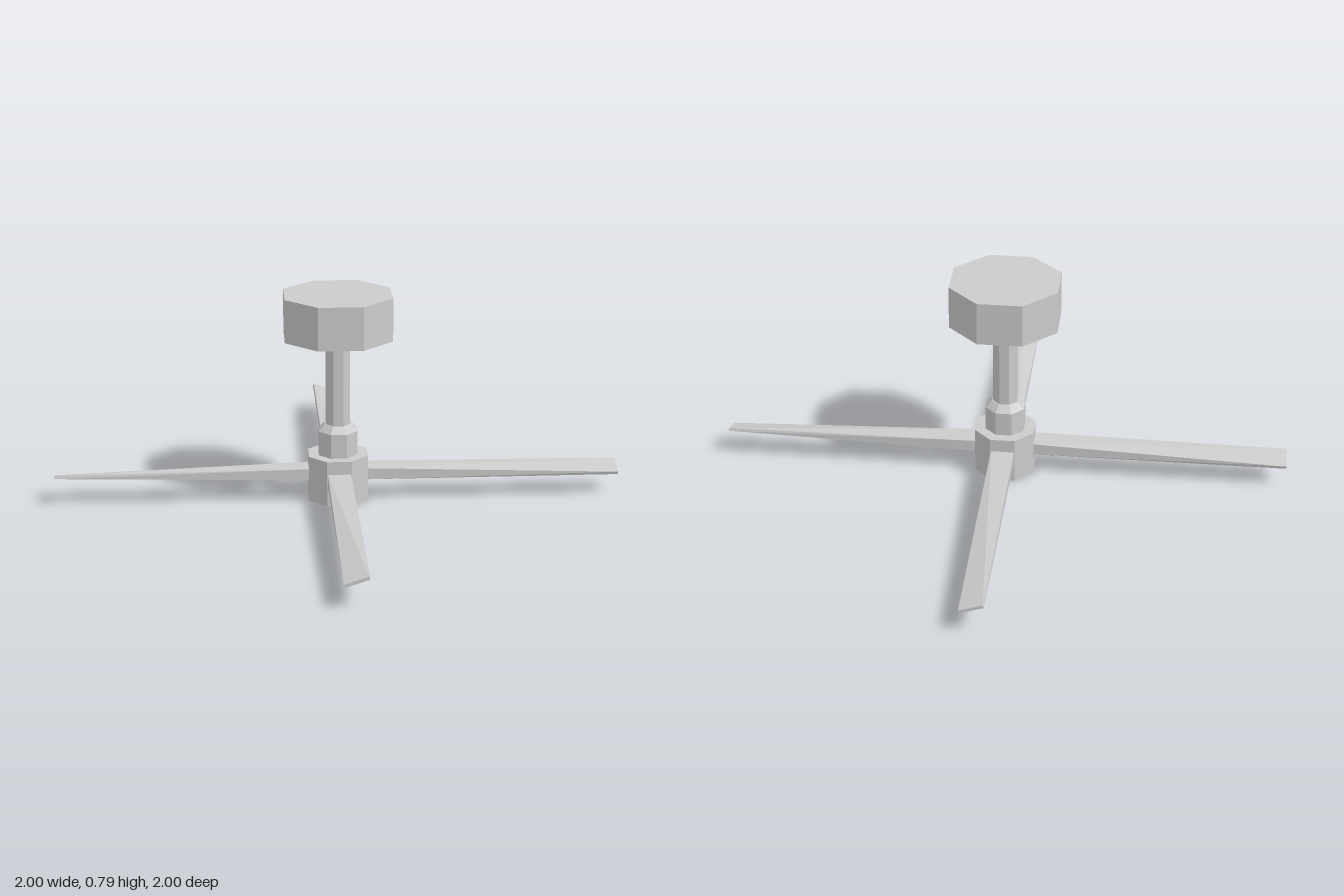
import * as THREE from 'three';

const material = new THREE.MeshStandardMaterial({ color: 0xcccccc, flatShading: true });

// Eight-sided turned part; profile points are [radius, height], bottom to top
function turned(name, profile) {
  const points = profile.map(([r, y]) => new THREE.Vector2(r, y));
  const mesh = new THREE.Mesh(new THREE.LatheGeometry(points, 8), material);
  mesh.name = name;
  return mesh;
}

// Blade along +x: a thick level root that twists and thins towards the tip
function bladeGeometry() {
  const geometry = new THREE.BoxGeometry(1, 1, 1);
  const p = geometry.attributes.position;
  for (let i = 0; i < p.count; i++) {
    const top = p.getY(i) > 0;
    const raised = p.getZ(i) < 0;
    const side = raised ? -1 : 1;
    if (p.getX(i) < 0) {
      p.setXYZ(i, 0.09, top ? 0.125 : 0.08, side * 0.0435);
    } else {
      const y = (raised ? 0.106 : 0.079) + (top ? 0.011 : 0);
      const halfWidth = raised === top ? 0.04 : 0.0435;
      p.setXYZ(i, 1.064, y, side * halfWidth);
    }
  }
  geometry.computeVertexNormals();
  return geometry;
}

export function createModel() {
  const fan = new THREE.Group();
  fan.name = 'ceilingFan';

  // Ceiling mount, rod and collar
  fan.add(turned('ceilingMount', [[0, 0.63], [0.215, 0.63], [0.215, 0.793], [0, 0.793]]));
  fan.add(turned('rod', [[0.048, 0.28], [0.048, 0.635]]));
  fan.add(turned('collar', [[0.078, 0.17], [0.078, 0.268], [0.053, 0.293], [0, 0.293]]));

  // Hub with a recess underneath
  fan.add(turned('hub', [[0, 0.03], [0.062, 0.03], [0.062, 0], [0.12, 0], [0.12, 0.175], [0, 0.175]]));

  // Four blades, each leaving the middle of a hub face
  const geometry = bladeGeometry();
  for (let i = 0; i < 4; i++) {
    const blade = new THREE.Mesh(geometry, material);
    blade.name = `blade${i + 1}`;
    blade.rotation.y = -Math.PI / 8 + i * Math.PI / 2;
    fan.add(blade);
  }
  return fan;
}
